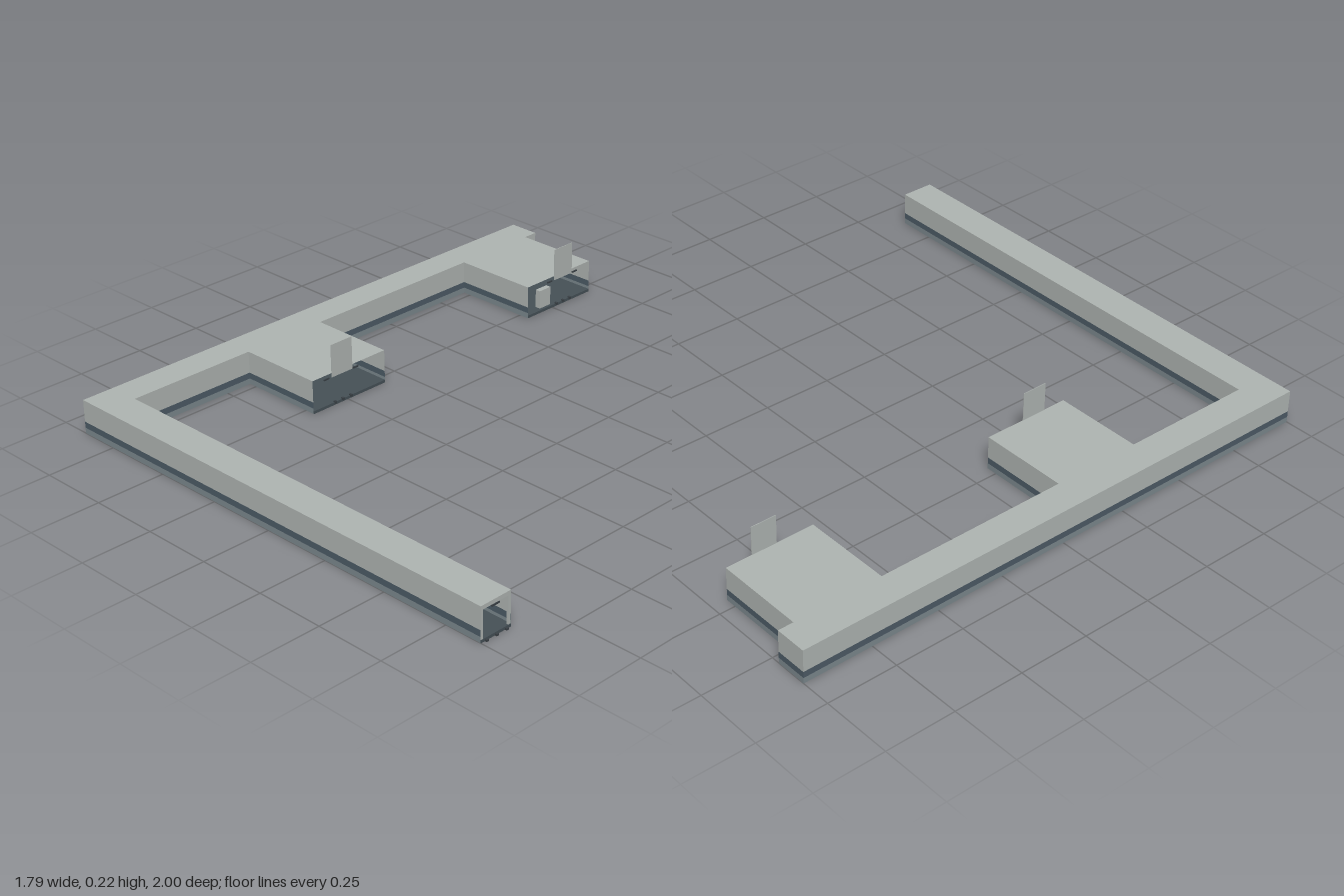
import * as THREE from 'three';

const mat = (name, color) => {
  const m = new THREE.MeshStandardMaterial({ color, side: THREE.DoubleSide });
  m.name = name;
  return m;
};

export function createModel() {
  const wallGrey = mat('wallGrey', 0xb0b6b3);
  const bandSlate = mat('bandSlate', 0x4d5c67);
  const baseGrey = mat('baseGrey', 0x7c898e);
  const floorDark = mat('floorDark', 0x465157);
  const fittingDark = mat('fittingDark', 0x3a4146);

  const model = new THREE.Group();
  model.name = 'corridorComplex';
  const H = 0.12;
  // Horizontal colour courses shared by every wall
  const courses = [
    ['baseCourse', 0, 0.02, baseGrey],
    ['bandCourse', 0.02, 0.042, bandSlate],
    ['upperWall', 0.042, H, wallGrey],
  ];

  function box(parent, name, material, [x0, x1], [y0, y1], [z0, z1]) {
    const mesh = new THREE.Mesh(new THREE.BoxGeometry(x1 - x0, y1 - y0, z1 - z0), material);
    mesh.position.set((x0 + x1) / 2, (y0 + y1) / 2, (z0 + z1) / 2);
    mesh.name = name;
    parent.add(mesh);
  }

  // Outward-facing wall quads; each segment runs from [x, z] to [x, z]
  function wallGeometry(segments, y0, y1) {
    const pos = [];
    for (const [[ax, az], [bx, bz]] of segments) {
      pos.push(ax, y0, az, bx, y0, bz, bx, y1, bz);
      pos.push(ax, y0, az, bx, y1, bz, ax, y1, az);
    }
    const g = new THREE.BufferGeometry();
    g.setAttribute('position', new THREE.Float32BufferAttribute(pos, 3));
    g.computeVertexNormals();
    return g;
  }

  // One wing: courses of wall, a roof and a floor slab; open wings lack end walls
  function wing(name, x0, x1, z0, z1, open) {
    const g = new THREE.Group();
    g.name = name;
    const segments = [[[x0, z1], [x1, z1]], [[x1, z0], [x0, z0]]];
    if (!open) segments.push([[x1, z1], [x1, z0]], [[x0, z0], [x0, z1]]);
    for (const [part, y0, y1, material] of courses) {
      const mesh = new THREE.Mesh(wallGeometry(segments, y0, y1), material);
      mesh.name = part;
      g.add(mesh);
    }
    const roof = new THREE.Mesh(new THREE.PlaneGeometry(x1 - x0, z1 - z0).rotateX(-Math.PI / 2), wallGrey);
    roof.position.set((x0 + x1) / 2, H, (z0 + z1) / 2);
    roof.name = 'roof';
    g.add(roof);
    const e = 0.001;
    box(g, 'floor', floorDark, [x0 + e, x1 + (open ? e : -e)], [0, 0.01], [z0 + e, z1 - e]);
    model.add(g);
    return g;
  }

  const xOut = -0.893, xIn = -0.78, xRoom = -0.462, xEnd = 0.885;
  wing('mainCorridor', xOut, xIn, -1, 1, false);
  const arm = wing('frontCorridor', xIn, xEnd, 0.88, 1, true);

  // Thin rim around the open end of the front corridor
  box(arm, 'rimTop', wallGrey, [xEnd - 0.006, xEnd], [0.105, H - 0.001], [0.881, 0.999]);
  for (const [z0, z1] of [[0.881, 0.89], [0.99, 0.999]])
    box(arm, 'rimSide', wallGrey, [xEnd - 0.006, xEnd], [0.01, 0.105], [z0, z1]);

  // Small fittings at the open end of the front corridor
  for (const z of [0.9, 0.94, 0.98])
    box(arm, 'endFitting', fittingDark, [xEnd - 0.004, 0.893], [0, 0.006], [z - 0.004, z + 0.004]);
  box(arm, 'ceilingFitting', fittingDark, [xEnd - 0.004, xEnd + 0.001], [0.098, 0.104], [0.925, 0.955]);

  // Two open-fronted rooms with raised doors
  for (const [name, z0, z1, door] of [
    ['middleRoom', 0.08, 0.402, 0.272],
    ['rearRoom', -0.945, -0.622, -0.805],
  ]) {
    const room = wing(name, xIn, xRoom, z0, z1, true);
    box(room, 'raisedDoor', wallGrey, [xRoom - 0.001, xRoom + 0.001], [0.104, 0.222], [door - 0.046, door + 0.046]);
    for (const dz of [-0.035, 0, 0.035])
      box(room, 'sillFitting', fittingDark, [xRoom - 0.004, xRoom + 0.006], [0.006, 0.014], [door + dz - 0.004, door + dz + 0.004]);
    for (const dz of [-0.065, 0.065])
      box(room, 'ceilingFitting', fittingDark, [xRoom - 0.006, xRoom - 0.002], [0.1, 0.105], [door + dz - 0.012, door + dz + 0.012]);
  }
  // Cabinet beside the rear room's door
  box(model.getObjectByName('rearRoom'), 'cabinet', wallGrey, [xRoom - 0.03, xRoom - 0.01], [0.01, 0.078], [-0.75, -0.695]);

  return model;
}
